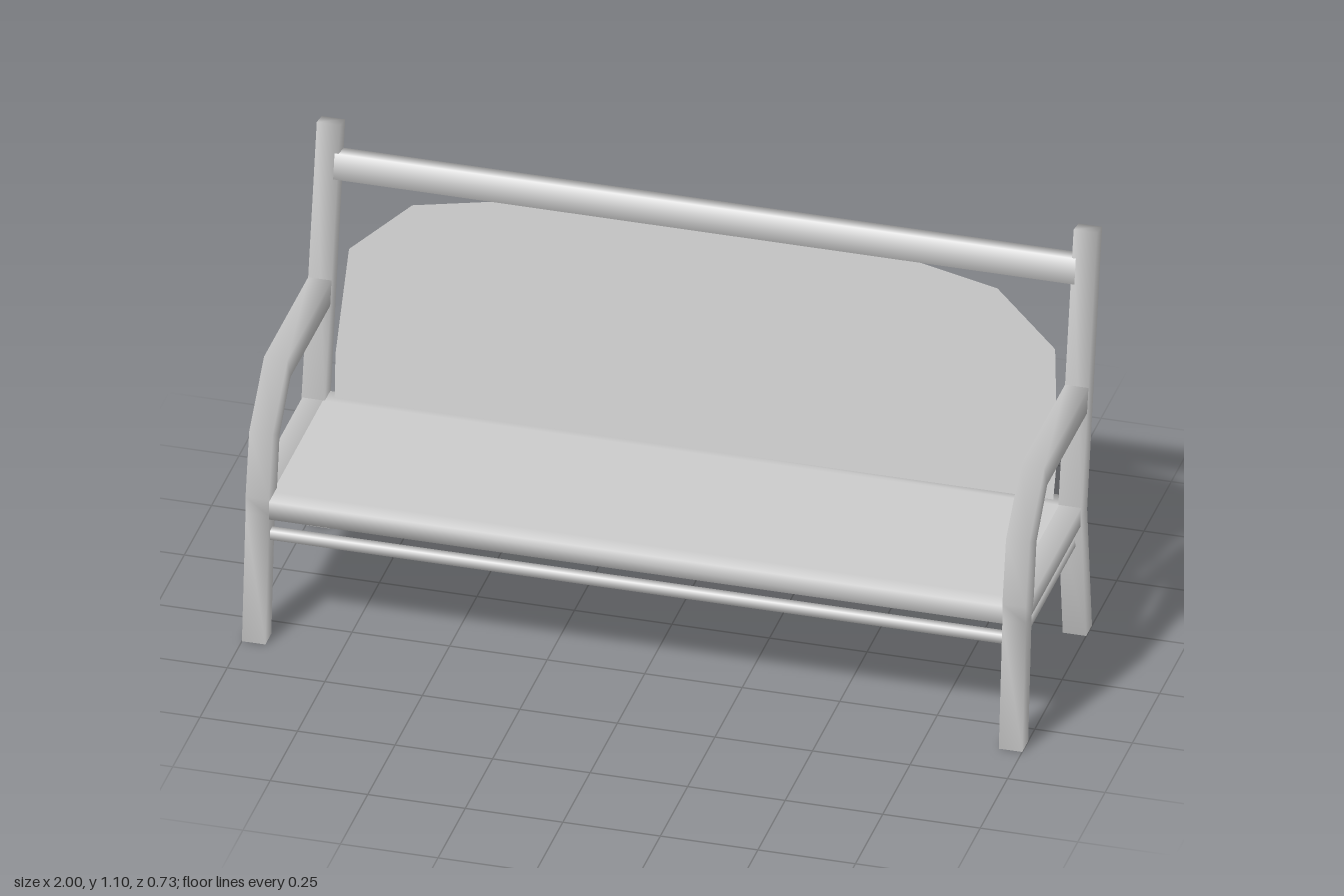
import * as THREE from 'three';

const grey = new THREE.MeshStandardMaterial({ color: 0xcccccc });
const sheet = new THREE.MeshStandardMaterial({ color: 0xcccccc, side: THREE.DoubleSide });
const LEAN = 0.192; // backward lean of the posts per unit of height

function smoothMesh(pos, index) {
  const g = new THREE.BufferGeometry();
  g.setAttribute('position', new THREE.Float32BufferAttribute(pos, 3));
  g.setIndex(index);
  g.computeVertexNormals();
  return g;
}

// Smooth-shaded four-sided bar, mitred along a path of [z, y, half thickness],
// cut level at its start and closed at both ends.
function bentBar(path, halfWidth) {
  const corners = [[1, 1], [-1, 1], [-1, -1], [1, -1]];
  const pts = path.map(([z, y]) => new THREE.Vector3(0, y, z));
  const dirs = pts.slice(1).map((p, i) => p.clone().sub(pts[i]).normalize());
  const pos = [], index = [0, 2, 1, 0, 3, 2], last = pts.length - 1;
  pts.forEach((p, i) => {
    const out = dirs[Math.min(i, last - 1)];
    const t = dirs[Math.max(i - 1, 0)].clone().add(out).normalize();
    if (i === 0) t.set(0, 1, 0);
    const half = path[i][2] / t.dot(out);
    corners.forEach(([cx, cn], j) => {
      pos.push(cx * halfWidth, p.y + t.z * cn * half, p.z - t.y * cn * half);
      if (i < last) {
        const k = i * 4 + j, l = i * 4 + ((j + 1) % 4);
        index.push(k, l, k + 4, l, l + 4, k + 4);
      }
    });
  });
  const cap = last * 4;
  index.push(cap, cap + 1, cap + 2, cap, cap + 2, cap + 3);
  return smoothMesh(pos, index);
}

// Straight four-sided bar along y with softened shading; its open ends sit inside other parts
function straightBar(width, depth, length) {
  return new THREE.CylinderGeometry(Math.SQRT1_2, Math.SQRT1_2, length, 4, 1, true, Math.PI / 4)
    .scale(width, 1, depth);
}

// Seat slab whose front and rear edges are softened like the rails
function seatSlab(halfLength, top, bottom, front, rear, edge) {
  const profile = [
    [front, bottom], [front, top], [front - edge, top], [rear + edge, top],
    [rear, top], [rear, bottom], [rear + edge, bottom], [front - edge, bottom],
  ];
  const pos = [], index = [];
  profile.forEach(([z, y], i) => {
    pos.push(-halfLength, y, z, halfLength, y, z);
    const a = 2 * i, b = 2 * ((i + 1) % profile.length);
    index.push(a, a + 1, b, a + 1, b + 1, b);
  });
  return smoothMesh(pos, index);
}

export function createModel() {
  const bench = new THREE.Group();
  bench.name = 'bench';
  const add = (name, geometry, x = 0, y = 0, z = 0, material = grey) => {
    const m = new THREE.Mesh(geometry, material);
    m.name = name;
    m.position.set(x, y, z);
    bench.add(m);
    return m;
  };
  const crossBar = (name, height, depth, y, z) =>
    add(name, straightBar(height, depth, 1.9).rotateZ(-Math.PI / 2), 0, y, z);
  const sideBar = (name, width, height, x, y, z0, z1) =>
    add(name, straightBar(width, height, z1 - z0).rotateX(Math.PI / 2), x, y, (z0 + z1) / 2);

  // End frames: front leg running up into the arm, rear leg running up into the back post
  for (const [side, s] of [['left', 1], ['right', -1]]) {
    const x = 0.97 * s;
    add(side + 'FrontLegAndArm', bentBar([
      [0.338, 0, 0.0275], [0.306, 0.345, 0.027], [0.2965, 0.388, 0.037],
      [0.267, 0.546, 0.035], [0.149, 0.668, 0.0325], [-0.25, 0.666, 0.0325],
    ], 0.03), x);
    add(side + 'RearPost', bentBar([
      [-0.247, 0, 0.0265], [-0.202, 0.36, 0.027], [-0.343, 1.094, 0.0235],
    ], 0.03), x);
    sideBar(side + 'SeatRail', 0.056, 0.05, x, 0.364, -0.2, 0.3);
    sideBar(side + 'Stretcher', 0.024, 0.025, x, 0.285, -0.205, 0.31);
  }

  // Top rail and lower stretchers
  crossBar('topRail', 0.068, 0.05, 0.987, -0.322).rotation.x = -Math.atan(LEAN);
  crossBar('frontStretcher', 0.025, 0.024, 0.289, 0.312);
  crossBar('rearStretcher', 0.025, 0.024, 0.289, -0.212);

  add('seat', seatSlab(0.945, 0.389, 0.339, 0.332, -0.229, 0.05));

  // Backrest sheet with chamfered upper corners, leaning with the rear posts
  const half = [[0.92, 0.365], [0.925, 0.5], [0.918, 0.6], [0.905, 0.775], [0.75, 0.91], [0.5, 0.957]];
  const outline = [...half, ...half.map(([x, y]) => [-x, y]).reverse()];
  const back = new THREE.ShapeGeometry(new THREE.Shape(outline.map(([x, y]) => new THREE.Vector2(x, y))));
  const p = back.attributes.position;
  for (let i = 0; i < p.count; i++) p.setZ(i, -0.196 - (p.getY(i) - 0.36) * LEAN);
  back.computeVertexNormals();
  add('backrest', back, 0, 0, 0, sheet);

  return bench;
}
